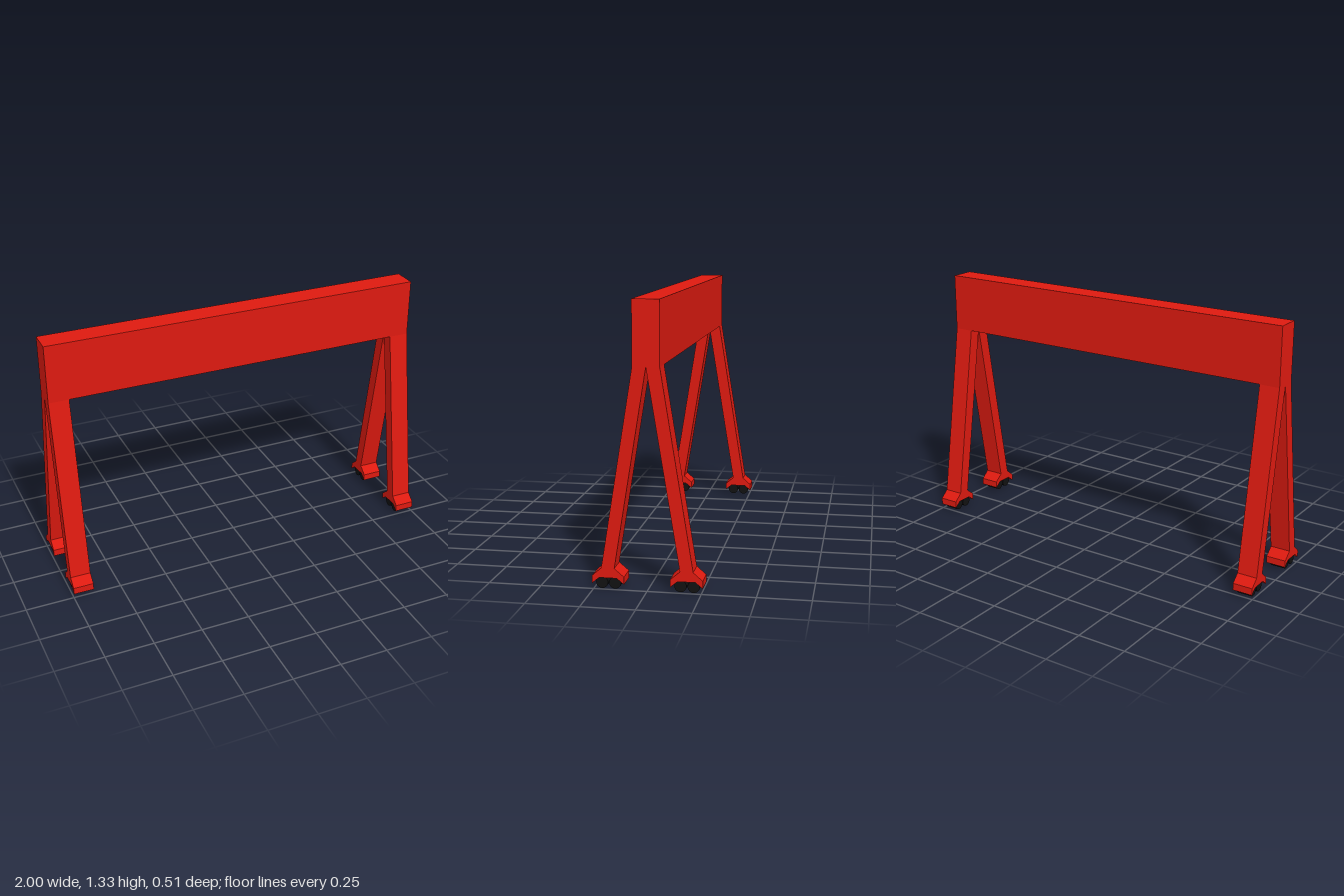
import * as THREE from 'three';

const LEG_W = 0.105;   // thickness of legs and feet along x
const WHEEL_W = 0.075;
const WHEEL_R = 0.028;

export function createModel() {
  const model = new THREE.Group();
  const red = new THREE.MeshStandardMaterial({ color: 0xdd1a10 });
  const black = new THREE.MeshStandardMaterial({ color: 0x111111 });

  // Extrudes a (z, y) outline along x, centred on x = 0
  const sidePlate = (points) => {
    const shape = new THREE.Shape(points.map(([z, y]) => new THREE.Vector2(z, y)));
    return new THREE.ExtrudeGeometry(shape, { depth: LEG_W, bevelEnabled: false })
      .translate(0, 0, -LEG_W / 2)
      .rotateY(-Math.PI / 2);
  };

  const add = (parent, name, geometry, material) => {
    const mesh = new THREE.Mesh(geometry, material);
    mesh.name = name;
    parent.add(mesh);
    return mesh;
  };

  // Main cross beam
  add(model, 'beam', new THREE.BoxGeometry(2, 0.3, 0.126), red).position.y = 1.18;

  const wheelGeometry = new THREE.CylinderGeometry(WHEEL_R, WHEEL_R, WHEEL_W, 24).rotateZ(Math.PI / 2);

  for (const sx of [1, -1]) {
    for (const sz of [1, -1]) {
      const support = new THREE.Group();
      support.name = (sz > 0 ? 'front' : 'back') + (sx > 0 ? 'Left' : 'Right') + 'Support';
      support.position.x = sx * (1 - LEG_W / 2);

      // Slanted leg
      const leg = [[0, 1.03], [0.152, 0.1], [0.213, 0.1], [0.063, 1.03]];
      // Bracket over the two wheels
      const foot = [
        [0.152, 0.1], [0.107, 0.062], [0.107, 0.026], [0.141, 0.054],
        [0.223, 0.054], [0.257, 0.026], [0.257, 0.062], [0.213, 0.1],
      ];
      const mirrored = (points) => points.map(([z, y]) => [z * sz, y]);
      add(support, 'leg', sidePlate(mirrored(leg)), red);
      add(support, 'foot', sidePlate(mirrored(foot)), red);

      // Wheel pair
      for (const z of [0.152, 0.213]) {
        add(support, 'wheel', wheelGeometry, black).position.set(0, WHEEL_R, z * sz);
      }
      model.add(support);
    }
  }
  return model;
}
